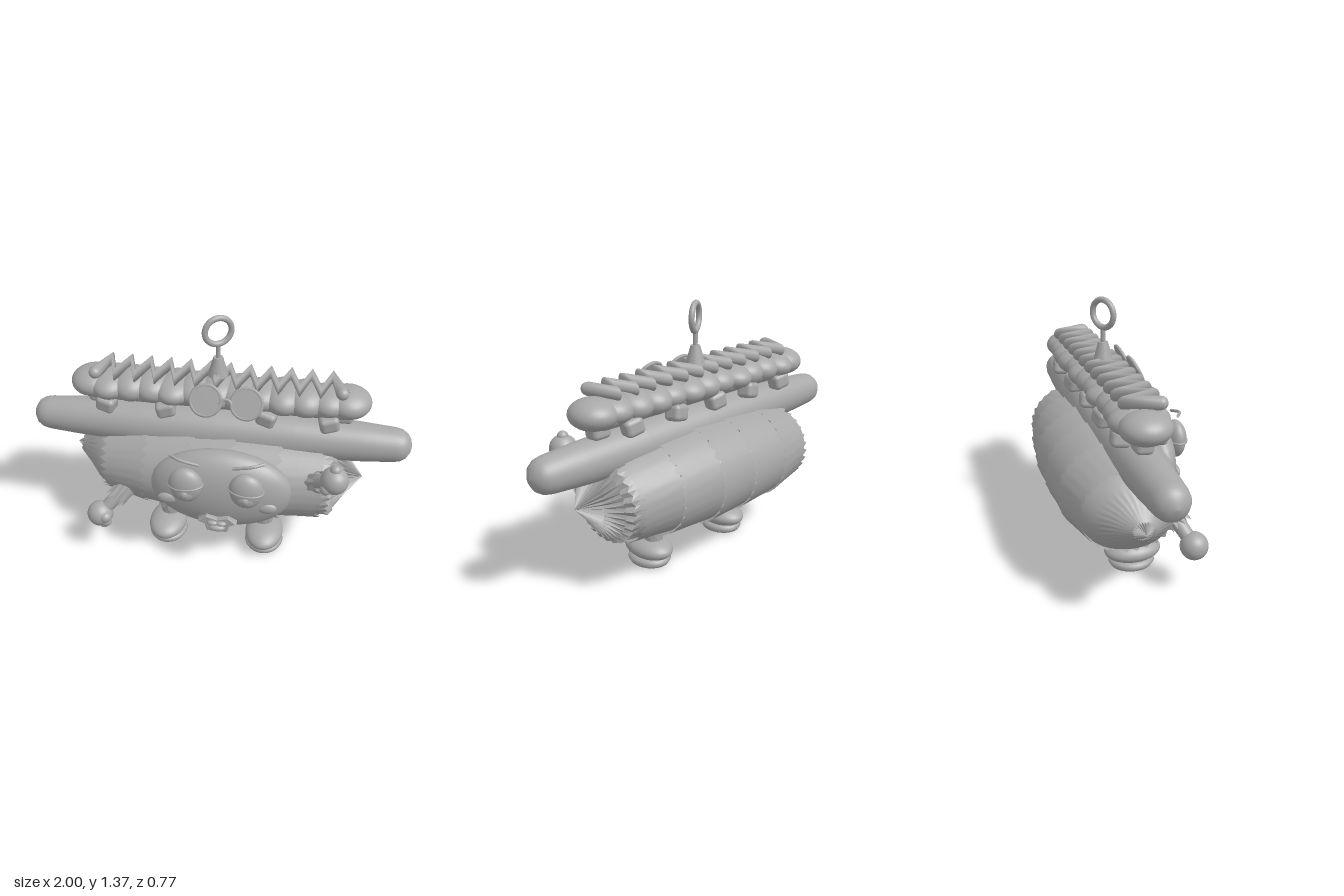
import * as THREE from 'three';
import { RoundedBoxGeometry } from 'three/addons/geometries/RoundedBoxGeometry.js';

const V = (x, y, z) => new THREE.Vector3(x, y, z);

export function createModel() {
  const model = new THREE.Group();
  const grey = new THREE.MeshStandardMaterial({ color: 0xa8a8a8, side: THREE.DoubleSide });
  grey.name = 'grey';

  function add(name, geo, x = 0, y = 0, z = 0, parent = model) {
    const m = new THREE.Mesh(geo, grey);
    m.name = name;
    m.position.set(x, y, z);
    parent.add(m);
    return m;
  }
  const ball = (name, x, y, z, rx, ry = rx, rz = rx) =>
    add(name, new THREE.SphereGeometry(1, 32, 20).scale(rx, ry, rz), x, y, z);

  // Aligns a mesh's y axis with the line from a to b
  function aim(mesh, a, b) {
    mesh.position.copy(a).lerp(b, 0.5);
    mesh.quaternion.setFromUnitVectors(V(0, 1, 0), b.clone().sub(a).normalize());
    return mesh;
  }
  const rod = (name, a, b, r, r2 = r) =>
    aim(add(name, new THREE.CylinderGeometry(r2, r, a.distanceTo(b), 20)), a, b);

  // Skin around y; each row is [height, radius, odd height shift, odd radius shift]
  function skin(rows, n, flat = false) {
    const pos = [], idx = [];
    rows.forEach(([h, r, dh = 0, dr = 0], i) => {
      for (let j = 0; j < n; j++) {
        const a = (j / n) * Math.PI * 2, odd = j % 2, R = r + odd * dr;
        pos.push(R * Math.cos(a), h + odd * dh, -R * Math.sin(a));
        if (i) {
          const k = (j + 1) % n, p = (i - 1) * n, q = i * n;
          idx.push(p + j, p + k, q + j, p + k, q + k, q + j);
        }
      }
    });
    let g = new THREE.BufferGeometry();
    g.setAttribute('position', new THREE.Float32BufferAttribute(pos, 3));
    g.setIndex(idx);
    if (flat) g = g.toNonIndexed();
    g.computeVertexNormals();
    return g;
  }

  // Body: overlapping zigzag-edged wrapper shells along x
  const body = new THREE.Group();
  body.name = 'body';
  body.position.set(0, 0.493, -0.062);
  body.rotation.set(0, -0.04, -Math.PI / 2);
  body.scale.set(1, 1, 1.17);
  model.add(body);
  const prof = [[-0.56, 0.213], [-0.36, 0.25], [-0.12, 0.262], [0.1, 0.265], [0.34, 0.246], [0.55, 0.216]];
  for (let i = 0; i < prof.length - 1; i++) {
    const [x0, r0] = prof[i], [x1, r1] = prof[i + 1];
    const first = i ? [x0, r0] : [x0, r0, -0.035, -0.003];
    add('wrapperShell', skin([first, [(x0 + x1) / 2, (r0 + r1) / 2 + 0.005], [x1, r1 + 0.008, 0.03, 0.003]], 60), 0, 0, 0, body);
  }
  add('bodyEnd', skin([[0.5, 0.218], [0.57, 0.212], [0.605, 0.203, 0.02, 0.003]], 56, true), 0, 0, 0, body);
  add('pleatedRing', skin([[0.6, 0.212, 0.02, 0], [0.63, 0.182, 0.012, 0]], 56, true), 0, 0, 0, body);
  add('pleatedCone', skin([[0.62, 0.187, 0.01, 0], [0.69, 0.1, -0.015, -0.01], [0.775, 0.001]], 64, true), 0, 0, 0, body);
  add('taperedEnd', skin([[-0.755, 0.045, -0.015, 0], [-0.69, 0.112], [-0.63, 0.17], [-0.57, 0.207], [-0.54, 0.213]], 64), 0, 0, 0, body);
  add('pointedTip', skin([[-0.805, 0.001], [-0.765, 0.03, 0.01, -0.006], [-0.73, 0.06]], 40, true), 0, 0, 0, body);

  // Long roll across the top
  const side = [[0.001, 1], [0.035, 0.992], [0.065, 0.973], [0.083, 0.945], [0.09, 0.91], [0.102, 0.75], [0.12, 0.4]];
  const roll = [...side, [0.127, 0], ...side.map(([r, x]) => [r, -x]).reverse()];
  add('longRoll', new THREE.LatheGeometry(roll.map(([r, x]) => new THREE.Vector2(r, -x)), 40), 0, 0.715, -0.037)
    .rotation.z = -Math.PI / 2;

  // Lumpy filling
  for (let i = -5; i <= 5; i++) {
    const wide = 0.135 + 0.012 * Math.sin(i * 2.3);
    ball('fillingLobe', i * 0.112, 0.94, -0.05, 0.108, 0.075 + 0.005 * Math.cos(i * 1.7), wide);
  }
  for (const s of [-1, 1]) ball('fillingEnd', s * 0.655, 0.94, -0.053, 0.118, 0.075, 0.122);
  const core = add('fillingCore', new THREE.CapsuleGeometry(0.07, 1.25, 8, 24), 0, 0.925, -0.05);
  core.rotation.z = Math.PI / 2;
  core.scale.z = 1.5;

  // Chunks peeking out below the filling
  const chunk = (x, z, tilt) => {
    add('chunk', new RoundedBoxGeometry(0.1, 0.085, 0.09, 3, 0.024), x, 0.862, z).rotation.set(0.1, tilt, tilt);
  };
  [-0.57, -0.26, 0.26, 0.57].forEach((x, i) => chunk(x, 0.035, i % 2 ? 0.2 : -0.2));
  [-0.55, -0.3, -0.05, 0.22, 0.5].forEach((x, i) => chunk(x, -0.135, i % 2 ? 0.2 : -0.2));
  for (const s of [-1, 1]) chunk(s * 0.64, -0.06, 0);

  // Zigzag sauce: one sharp-cornered strip, thin between the bends
  const zig = i => V(-0.62 + i * 0.0517, 1.032, i % 2 ? -0.122 : 0.03);
  const sauce = new THREE.CurvePath();
  for (let i = 0; i < 24; i++) sauce.add(new THREE.LineCurve3(zig(i), zig(i + 1)));
  sauce.arcLengthDivisions = 240;
  add('sauce', new THREE.TubeGeometry(sauce, 24, 0.033, 14));
  for (const i of [0, 24]) ball('sauceEnd', ...zig(i).toArray(), 0.031);

  // Hanging loop
  rod('loopBase', V(0, 1.04, -0.04), V(0, 1.14, -0.04), 0.052, 0.024);
  rod('loopStem', V(0, 1.13, -0.04), V(0, 1.21, -0.04), 0.012);
  add('loopRing', new THREE.TorusGeometry(0.069, 0.015, 14, 40), 0, 1.282, -0.04).rotation.y = 0.52;

  // Sunglasses resting on the filling
  const glasses = new THREE.Group();
  glasses.name = 'sunglasses';
  glasses.position.set(0.065, 0.985, 0.122);
  glasses.rotation.x = -0.45;
  model.add(glasses);
  for (const s of [-1, 1]) {
    add('lens', new THREE.CylinderGeometry(0.078, 0.078, 0.014, 36), s * 0.101, 0, 0, glasses).rotation.x = Math.PI / 2;
    add('lensRim', new THREE.TorusGeometry(0.076, 0.009, 8, 36), s * 0.101, 0, 0, glasses);
  }
  add('bridge', new THREE.TorusGeometry(0.028, 0.007, 8, 16, Math.PI), 0, -0.015, 0.008, glasses);

  // Face
  ball('face', 0.056, 0.515, 0.205, 0.37, 0.231, 0.12);
  for (const s of [-1, 1]) {
    const x = 0.047 + s * 0.152;
    ball('eye', x, 0.605, 0.325, 0.083, 0.1, 0.048);
    add('eyelid', new THREE.SphereGeometry(1, 28, 10, 0, Math.PI * 2, 0, Math.PI / 2).scale(0.088, 0.1, 0.054), x, 0.608, 0.325);
    const rim = add('eyelidRim', new THREE.TorusGeometry(1, 0.08, 8, 36).rotateX(Math.PI / 2).scale(0.086, 0.07, 0.054), x, 0.612, 0.325);
    rim.rotation.z = -s * 0.06;
    ball('iris', x, 0.572, 0.343, 0.052, 0.05, 0.033);
    ball('pupil', x, 0.575, 0.357, 0.026, 0.028, 0.024);
    ball('cheek', 0.046 + s * 0.254, 0.475, 0.285, 0.054, 0.032, 0.02);
    const brow = new THREE.CatmullRomCurve3([
      V(x + s * 0.08, 0.765, 0.3), V(x + s * 0.03, 0.765, 0.33), V(x - s * 0.07, 0.738, 0.325)]);
    add('eyebrow', new THREE.TubeGeometry(brow, 16, 0.008, 8));
  }

  // Mouth: notched plate with lips
  const mouth = [[-0.095, 0.012], [-0.055, 0.045], [0, 0.028], [0.055, 0.045], [0.095, 0.012],
    [0.06, -0.005], [0.05, -0.045], [-0.05, -0.045], [-0.06, -0.005]];
  add('mouth', new THREE.ExtrudeGeometry(new THREE.Shape(mouth.map(p => new THREE.Vector2(...p))),
    { depth: 0.03, bevelSize: 0.004, bevelThickness: 0.004, bevelSegments: 1 }), 0.055, 0.372, 0.3);
  for (const s of [-1, 1]) ball('upperLip', 0.055 + s * 0.022, 0.383, 0.335, 0.028, 0.014, 0.018);
  ball('lowerLip', 0.055, 0.353, 0.335, 0.042, 0.018, 0.022);

  // Arms with jagged cuffs and ball hands
  function arm(side, shoulder, wrist, hand, fingers) {
    rod(side + 'Arm', shoulder, hand, 0.04, 0.034);
    const len = shoulder.distanceTo(wrist);
    aim(add(side + 'Cuff', skin([[-len / 2, 0.055], [len / 2 - 0.03, 0.046, 0.035, 0.01]], 16, true)), shoulder, wrist);
    ball(side + 'Hand', ...hand.toArray(), 0.07);
    fingers.forEach(f => ball(side + 'Finger', ...f));
  }
  arm('right', V(-0.45, 0.42, 0.14), V(-0.53, 0.34, 0.195), V(-0.605, 0.262, 0.228),
    [[-0.565, 0.27, 0.265, 0.032], [-0.565, 0.235, 0.255, 0.03], [-0.582, 0.21, 0.245, 0.027]]);
  arm('left', V(0.48, 0.55, 0.13), V(0.565, 0.62, 0.21), V(0.622, 0.675, 0.255),
    [[0.622, 0.738, 0.255, 0.028], [0.585, 0.64, 0.285, 0.03]]);

  // Legs with jagged cuffs and rounded shoes on curved soles
  for (const s of [-1, 1]) {
    const x = s * 0.267;
    rod('leg', V(x, 0.11, 0), V(x, 0.28, 0), 0.05);
    add('legCuff', skin([[0.27, 0.058], [0.215, 0.056, -0.04, 0.008]], 20, true), x, 0, 0);
    add('lowerCuff', skin([[0.15, 0.052], [0.175, 0.053, 0.035, 0.006]], 20, true), x, 0, 0);
    ball('shoe', s * 0.275, 0.088, 0.03, 0.105, 0.06, 0.152);
    const sole = [[0.001, 0.006], [0.75, 0.006], [0.92, 0.014], [1, 0.03], [0.97, 0.05], [0.8, 0.055]];
    add('sole', new THREE.LatheGeometry(sole.map(p => new THREE.Vector2(...p)), 40).scale(0.106, 1, 0.122), s * 0.275, -0.006, 0.025);
  }
  return model;
}
